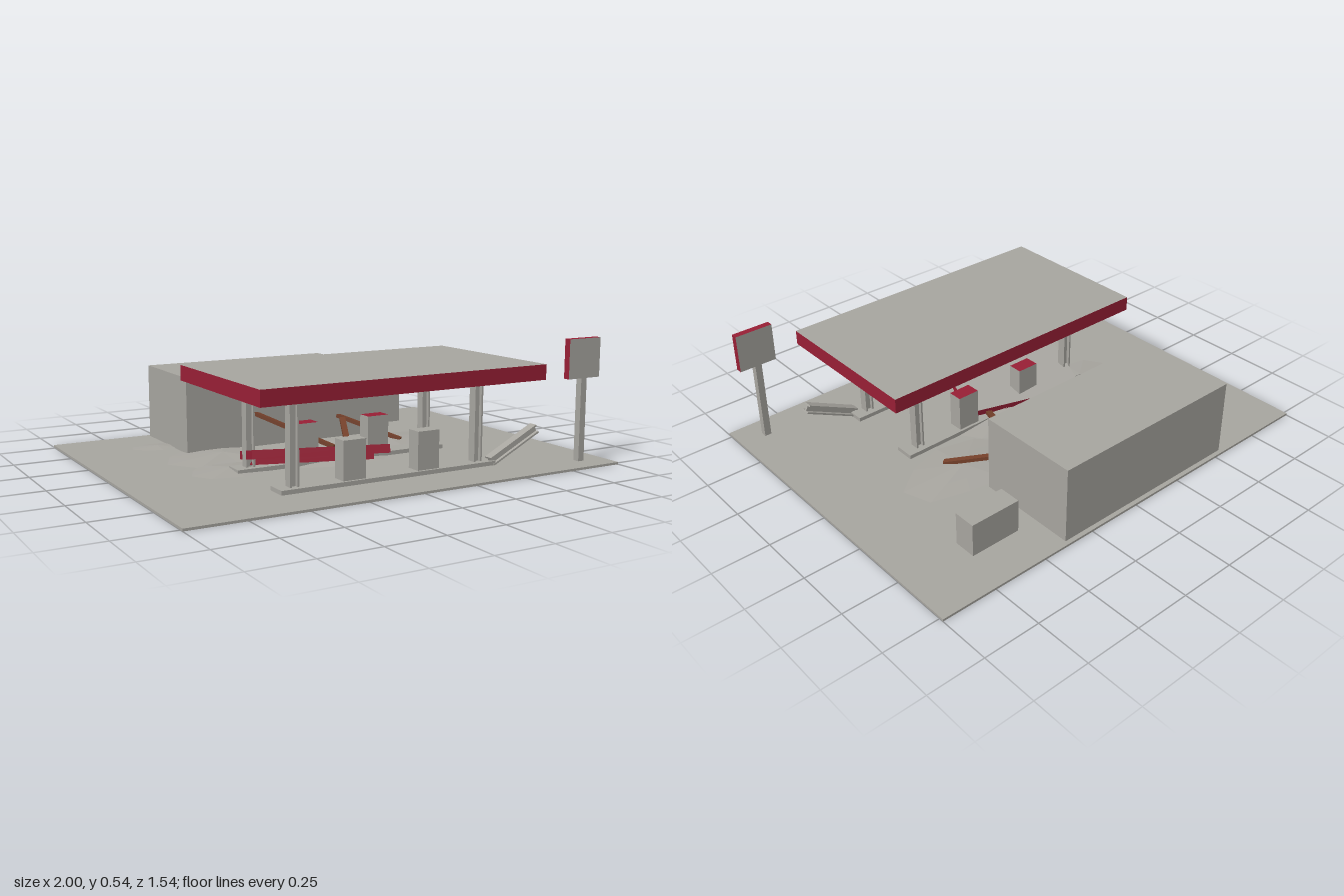
import * as THREE from 'three';

const mat = (name, color, extra = {}) => Object.assign(new THREE.MeshStandardMaterial({ color, ...extra }), { name });

export function createModel() {
  const root = new THREE.Group();
  root.name = 'ruinedFuelStation';
  const grey = mat('concrete grey', 0xa7a59f, { flatShading: true });
  const red = mat('fascia red', 0x981f35);
  const brown = mat('rusty brown', 0x74402a);

  const add = (name, geometry, material, parent = root) => {
    const m = new THREE.Mesh(geometry, material);
    m.name = name;
    parent.add(m);
    return m;
  };
  // Box given by its lower and upper limits on each axis
  const block = (name, [x0, x1], [y0, y1], [z0, z1], material = grey) => {
    const m = add(name, new THREE.BoxGeometry(x1 - x0, y1 - y0, z1 - z0), material);
    m.position.set((x0 + x1) / 2, (y0 + y1) / 2, (z0 + z1) / 2);
    return m;
  };
  const redSides = [red, red, grey, grey, red, red];

  // Ground and buildings
  block('ground', [-1, 1], [0, 0.01], [-0.77, 0.77]);
  block('shop', [-0.54, 0.38], [0.01, 0.35], [-0.75, -0.29]);
  block('storageBox', [0.475, 0.705], [0.01, 0.158], [-0.58, -0.48]);

  // Canopy roof
  block('canopy', [-0.66, 0.66], [0.38, 0.445], [-0.055, 0.68], redSides);

  // Steel columns with an H section, extruded upwards
  const f = 0.02, t = 0.012, w = 0.005;
  const section = new THREE.Shape([
    [-f, -f], [-t, -f], [-t, -w], [t, -w], [t, -f], [f, -f],
    [f, f], [t, f], [t, w], [-t, w], [-t, f], [-f, f],
  ].map(([x, y]) => new THREE.Vector2(x, y)));
  const columnGeometry = (length) => {
    const g = new THREE.ExtrudeGeometry(section, { depth: length, bevelEnabled: false });
    return g.rotateX(-Math.PI / 2);
  };

  // Pump islands, each with two columns and two pumps
  for (const [z, top] of [[0.507, grey], [0.125, red]]) {
    block('pumpIsland', [-0.51, 0.51], [0.01, 0.028], [z - 0.045, z + 0.045]);
    for (const x of [-0.44, 0.435]) {
      add('column', columnGeometry(0.355), grey).position.set(x, 0.025, z);
    }
    for (const x of [-0.18, 0.172]) {
      block('pump', [x - 0.052, x + 0.052], [0.025, 0.19], [z - 0.033, z + 0.033],
        [grey, grey, top, grey, grey, grey]);
    }
  }

  // Fallen column resting at an angle
  const fallen = add('fallenColumn', columnGeometry(0.27), grey);
  fallen.position.set(0.49, 0.025, 0.535);
  fallen.rotation.z = -1.11;

  // Collapsed piece of canopy, turned and tilted
  const slab = new THREE.Group();
  slab.name = 'collapsedCanopy';
  slab.rotation.order = 'YXZ';
  slab.rotation.set(-0.22, -0.305, 0);
  slab.position.set(-0.188, 0.08, 0.22);
  root.add(slab);
  add('collapsedSlab', new THREE.BoxGeometry(0.566, 0.036, 0.36), redSides, slab);
  add('collapsedFascia', new THREE.BoxGeometry(0.53, 0.03, 0.02), red, slab).position.set(0, -0.028, -0.03);

  // Leaning beams, each between two points
  const beams = [
    [[-0.205, 0.162, -0.295], [0.04, 0.035, 0.0]],
    [[0.23, 0.112, -0.295], [0.425, 0.022, -0.045]],
    [[0.175, 0.125, -0.155], [0.06, 0.05, 0.09]],
  ];
  for (const [a, b] of beams) {
    const from = new THREE.Vector3(...a), to = new THREE.Vector3(...b);
    const beam = add('fallenBeam', new THREE.BoxGeometry(0.026, 0.016, from.distanceTo(to)), brown);
    beam.position.copy(from).lerp(to, 0.5);
    beam.lookAt(to);
  }

  // Low uneven rubble: flat cones with jagged rims
  let seed = 7;
  const rand = () => (seed = (seed * 16807) % 2147483647) / 2147483647;
  const heaps = [
    [-0.42, -0.18, 0.3, 0.24, 0.02], [-0.6, -0.5, 0.14, 0.1, 0.01],
    [0.38, -0.12, 0.3, 0.2, 0.024], [-0.05, 0.08, 0.32, 0.2, 0.026],
    [-0.5, 0.08, 0.24, 0.16, 0.016],
  ];
  for (const [x, z, rx, rz, h] of heaps) {
    const g = new THREE.ConeGeometry(1, 1, 9, 2, true);
    const p = g.attributes.position;
    const jag = Array.from({ length: 9 }, () => 0.75 + 0.3 * rand());
    for (let i = 0; i < p.count; i++) {
      const k = jag[(i % 10) % 9];
      p.setXYZ(i, p.getX(i) * k * rx, (p.getY(i) + 0.5) * h * (0.6 + 0.4 * k), p.getZ(i) * k * rz);
    }
    g.computeVertexNormals();
    add('rubble', g, grey).position.set(x, 0.009, z);
  }

  // Roadside sign
  block('signPost', [0.86, 0.89], [0.01, 0.37], [0.645, 0.675]);
  block('signBoard', [0.79, 0.96], [0.37, 0.54], [0.645, 0.675], [red, red, red, red, grey, grey]);

  return root;
}
